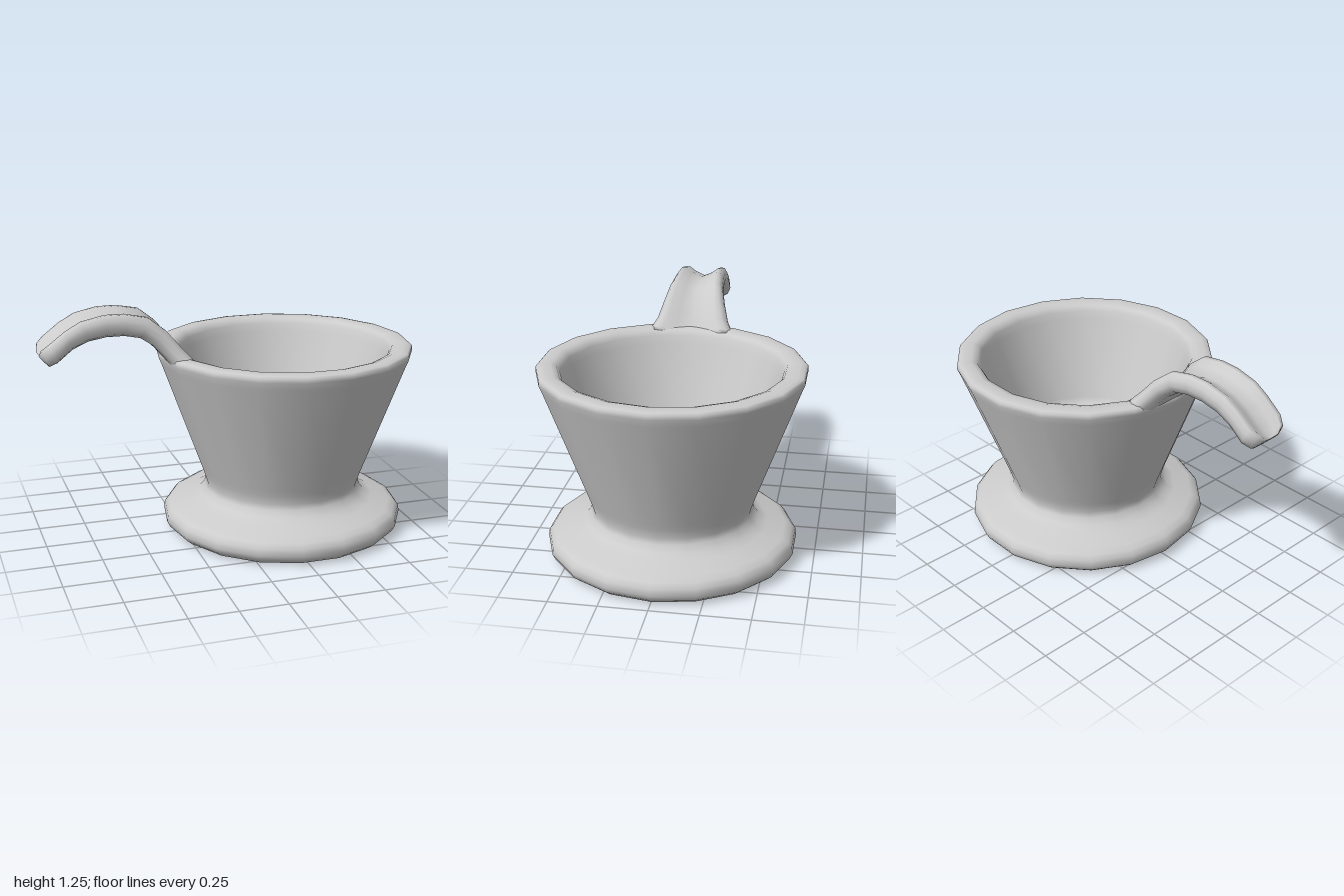
import * as THREE from 'three';

const CUP_X = 0.315;

// Handle: a grooved cross-section lofted through pairs of lower and upper edge points
function handleGeometry() {
  // lower x, lower y, upper x, upper y, half width
  const stations = [
    [-0.975, 1.025, -0.998, 1.055, 0.06],
    [-0.95, 1.0, -0.99, 1.09, 0.105],
    [-0.91, 1.02, -0.955, 1.12, 0.13],
    [-0.83, 1.085, -0.87, 1.185, 0.132],
    [-0.75, 1.12, -0.79, 1.23, 0.134],
    [-0.66, 1.135, -0.67, 1.256, 0.136],
    [-0.57, 1.135, -0.57, 1.256, 0.14],
    [-0.49, 1.12, -0.45, 1.232, 0.15],
    [-0.43, 1.08, -0.36, 1.16, 0.17],
    [-0.375, 1.02, -0.29, 1.075, 0.195],
    [-0.34, 0.97, -0.25, 1.03, 0.225],
    [-0.31, 0.94, -0.235, 1.012, 0.24],
  ];
  // half of the section: fraction of half width, fraction of height
  const half = [[0, 0.58], [0.4, 0.77], [0.66, 0.98], [0.84, 0.98], [0.97, 0.75],
    [1, 0.48], [0.9, 0.18], [0.65, 0.03], [0, 0]];
  const section = [...half, ...half.slice(1, -1).reverse().map(([w, h]) => [-w, h])];
  const n = section.length, pos = [], idx = [];
  for (const [bx, by, tx, ty, w] of stations)
    for (const [u, h] of section) pos.push(bx + (tx - bx) * h, by + (ty - by) * h, u * w);
  for (let i = 0; i < stations.length - 1; i++)
    for (let j = 0; j < n; j++) {
      const a = i * n + j, b = i * n + (j + 1) % n;
      idx.push(a, b, a + n, b, b + n, a + n);
    }
  // end caps
  for (const end of [0, stations.length - 1]) {
    const [bx, by, tx, ty] = stations[end], c = pos.length / 3;
    pos.push((bx + tx) / 2, (by + ty) / 2, 0);
    for (let j = 0; j < n; j++) {
      const a = end * n + j, b = end * n + (j + 1) % n;
      if (end === 0) idx.push(c, b, a); else idx.push(c, a, b);
    }
  }
  const g = new THREE.BufferGeometry();
  g.setAttribute('position', new THREE.Float32BufferAttribute(pos, 3));
  g.setIndex(idx);
  g.computeVertexNormals();
  return g;
}

export function createModel() {
  const group = new THREE.Group();
  const material = new THREE.MeshStandardMaterial({ color: 0xcccccc });
  const add = (name, geometry, x = 0) => {
    const mesh = new THREE.Mesh(geometry, material);
    mesh.name = name;
    mesh.position.x = x;
    group.add(mesh);
  };

  // Cup with flared foot, thick tapered wall and rounded rim
  const profile = [
    [0, 0], [0.59, 0], [0.61, 0.005], [0.64, 0.03], [0.655, 0.06], [0.65, 0.095], [0.63, 0.12], [0.595, 0.138],
    [0.5, 0.165], [0.455, 0.188], [0.428, 0.22], [0.42, 0.25], [0.435, 0.3], [0.447, 0.335],
    [0.67, 0.945], [0.686, 0.985], [0.685, 1.005], [0.675, 1.016], [0.65, 1.02],
    [0.61, 1.02], [0.58, 1.01], [0.565, 0.985], [0.55, 0.945],
    [0.4, 0.51], [0.38, 0.475], [0.345, 0.46], [0, 0.455],
  ].map(([r, y]) => new THREE.Vector2(r, y));
  add('cup', new THREE.LatheGeometry(profile, 18, Math.PI / 2), CUP_X);

  // Arched handle flowing out of the rim
  add('handle', handleGeometry());
  return group;
}
